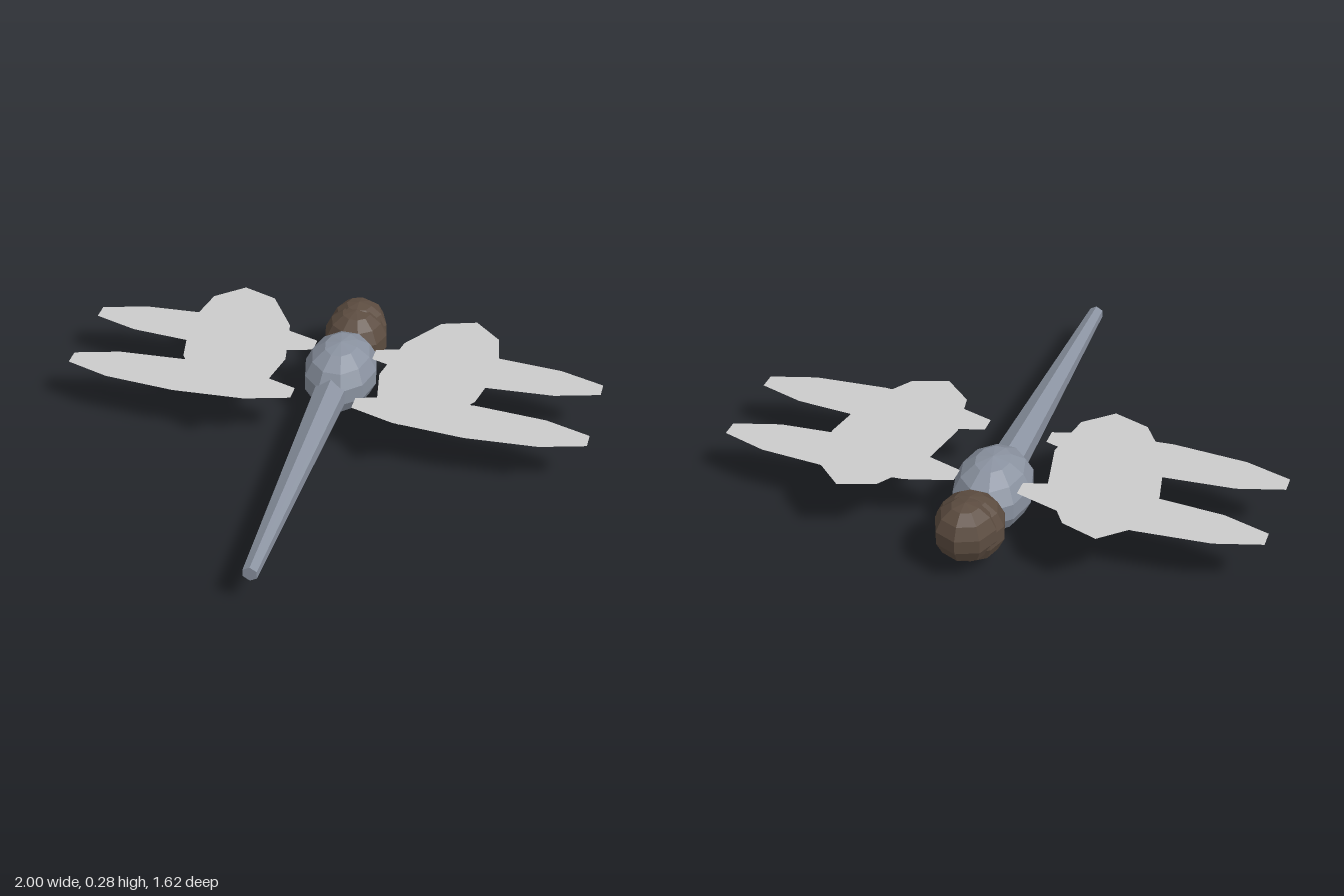
import * as THREE from 'three';

const paint = (color, side = THREE.FrontSide) =>
  new THREE.MeshStandardMaterial({ color, flatShading: true, side });

export function createModel() {
  const model = new THREE.Group();
  const bodyMat = paint(0x8a92a0);
  const headMat = paint(0x5c4c40);
  const wingMat = paint(0xd0d4d4, THREE.DoubleSide);

  const add = (name, geometry, material, x, y, z) => {
    const mesh = new THREE.Mesh(geometry, material);
    mesh.name = name;
    mesh.position.set(x, y, z);
    model.add(mesh);
    return mesh;
  };

  // Faceted thorax, stretched along the body
  add('thorax', new THREE.SphereGeometry(1, 10, 7).scale(0.144, 0.14, 0.19), bodyMat, 0, 0.14, -0.415);

  // Head, and the face bulging forward from it
  add('head', new THREE.SphereGeometry(0.127, 10, 7), headMat, 0, 0.145, -0.65);
  add('face', new THREE.SphereGeometry(0.115, 8, 7), headMat, 0, 0.165, -0.697);

  // Long tapering six-sided tail
  const tailStart = -0.415, tailEnd = 0.81;
  const tail = new THREE.CylinderGeometry(0.029, 0.071, tailEnd - tailStart, 6).rotateX(Math.PI / 2);
  add('tail', tail, bodyMat, 0, 0.142, (tailStart + tailEnd) / 2);

  // Flat ten-sided wings, mirrored left and right
  const narrowWing = new THREE.CircleGeometry(1, 10, Math.PI / 10)
    .rotateX(-Math.PI / 2).scale(0.464, 1, 0.102);
  const ovalWing = new THREE.CircleGeometry(1, 10, Math.PI / 2)
    .rotateX(-Math.PI / 2).scale(0.205, 1, 0.367);

  for (const [side, s] of [['left', 1], ['right', -1]]) {
    add(side + 'FrontWing', narrowWing, wingMat, s * 0.559, 0.205, -0.468);
    add(side + 'RearWing', narrowWing, wingMat, s * 0.559, 0.205, -0.145);
    const oval = add(side + 'UpperWing', ovalWing, wingMat, s * 0.397, 0.255, -0.353);
    oval.rotation.y = -s * 0.2;
  }
  return model;
}
